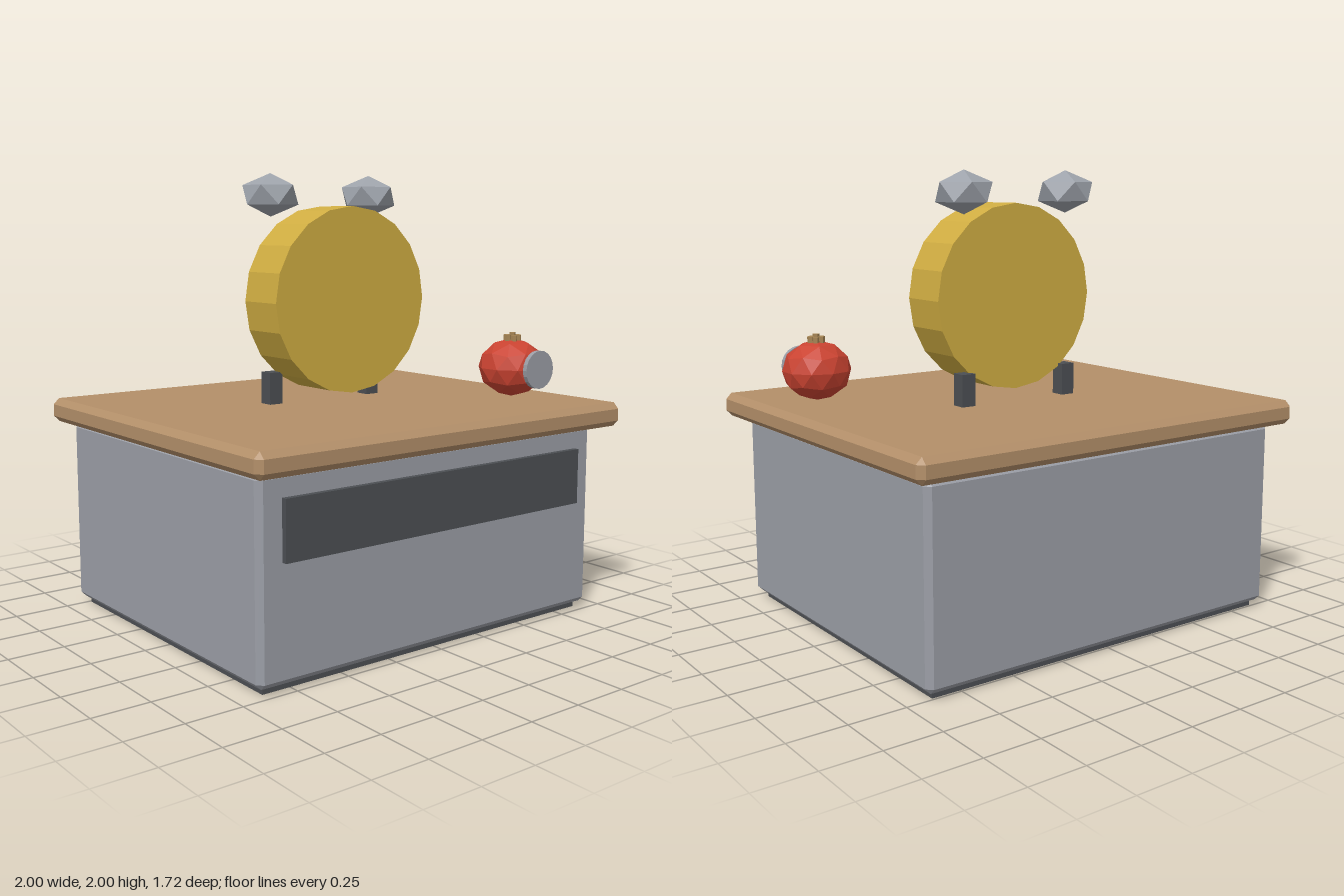
import * as THREE from 'three';
import { ConvexGeometry } from 'three/addons/geometries/ConvexGeometry.js';

const mat = (name, color) => {
  const m = new THREE.MeshStandardMaterial({ color, flatShading: true });
  m.name = name;
  return m;
};

// Box with all edges chamfered by b
function chamferBox(w, h, d, b) {
  const pts = [];
  for (const sx of [-1, 1]) for (const sy of [-1, 1]) for (const sz of [-1, 1]) {
    for (let k = 0; k < 3; k++) {
      pts.push(new THREE.Vector3(
        sx * (w / 2 - (k === 0 ? 0 : b)),
        sy * (h / 2 - (k === 1 ? 0 : b)),
        sz * (d / 2 - (k === 2 ? 0 : b))));
    }
  }
  return new ConvexGeometry(pts);
}

// Squashed faceted ball standing on one of its corners
function facetBall(r, halfHeight, detail) {
  const g = new THREE.IcosahedronGeometry(r, detail);
  g.rotateZ(-Math.atan2(2, 1 + Math.sqrt(5)));
  g.scale(1, halfHeight / r, 1);
  g.computeVertexNormals();
  return g;
}

export function createModel() {
  const group = new THREE.Group();
  const wood = mat('wood', 0xb38f69);
  const steel = mat('greyPaint', 0x9b9ea6);
  const dark = mat('darkGrey', 0x4c4f53);
  const gold = mat('gold', 0xd0ad42);
  const bellMetal = mat('bellMetal', 0x9da2aa);
  const red = mat('red', 0xca4331);
  const stemColor = mat('stemBrown', 0xa88655);

  const add = (name, geometry, material, x, y, z) => {
    const mesh = new THREE.Mesh(geometry, material);
    mesh.name = name;
    mesh.position.set(x, y, z);
    group.add(mesh);
    return mesh;
  };

  // Cabinet
  add('plinth', new THREE.BoxGeometry(1.76, 0.05, 1.44), dark, 0, 0.025, -0.02);
  add('cabinet', chamferBox(1.845, 0.84, 1.525, 0.025), steel, 0, 0.449, -0.02);
  add('drawerPanel', new THREE.BoxGeometry(1.625, 0.25, 0.06), dark, 0, 0.643, 0.737);
  add('tabletop', chamferBox(1.995, 0.108, 1.715, 0.027), wood, 0, 0.922, 0);

  // Clock drum
  const drum = new THREE.CylinderGeometry(0.415, 0.415, 0.235, 20);
  drum.rotateX(Math.PI / 2);
  add('clockDrum', drum, gold, 0, 1.442, 0.024);

  // Clock feet and bells
  const foot = new THREE.BoxGeometry(0.068, 0.145, 0.068);
  const bell = facetBall(0.138, 0.095, 0);
  for (const [side, s] of [['left', 1], ['right', -1]]) {
    add(side + 'Foot', foot, dark, s * 0.278, 1.047, -0.09);
    add(side + 'Bell', bell, bellMetal, s * 0.278, 1.905, -0.092);
  }

  // Round timer with dial and small crown
  add('timerBody', facetBall(0.156, 0.136, 1), red, 0.738, 1.115, 0.413);
  const dial = new THREE.CylinderGeometry(0.088, 0.088, 0.022, 20);
  dial.rotateX(Math.PI / 2);
  add('timerDial', dial, steel, 0.738, 1.118, 0.579);

  const crown = new THREE.CylinderGeometry(0.015, 0.015, 0.035, 6);
  for (let i = 0; i < 6; i++) {
    const a = i * Math.PI / 3;
    add('crownBud', crown, stemColor,
      0.738 + 0.027 * Math.cos(a), 1.249, 0.413 + 0.027 * Math.sin(a));
  }
  add('crownCentre', crown, stemColor, 0.738, 1.261, 0.413);

  return group;
}
